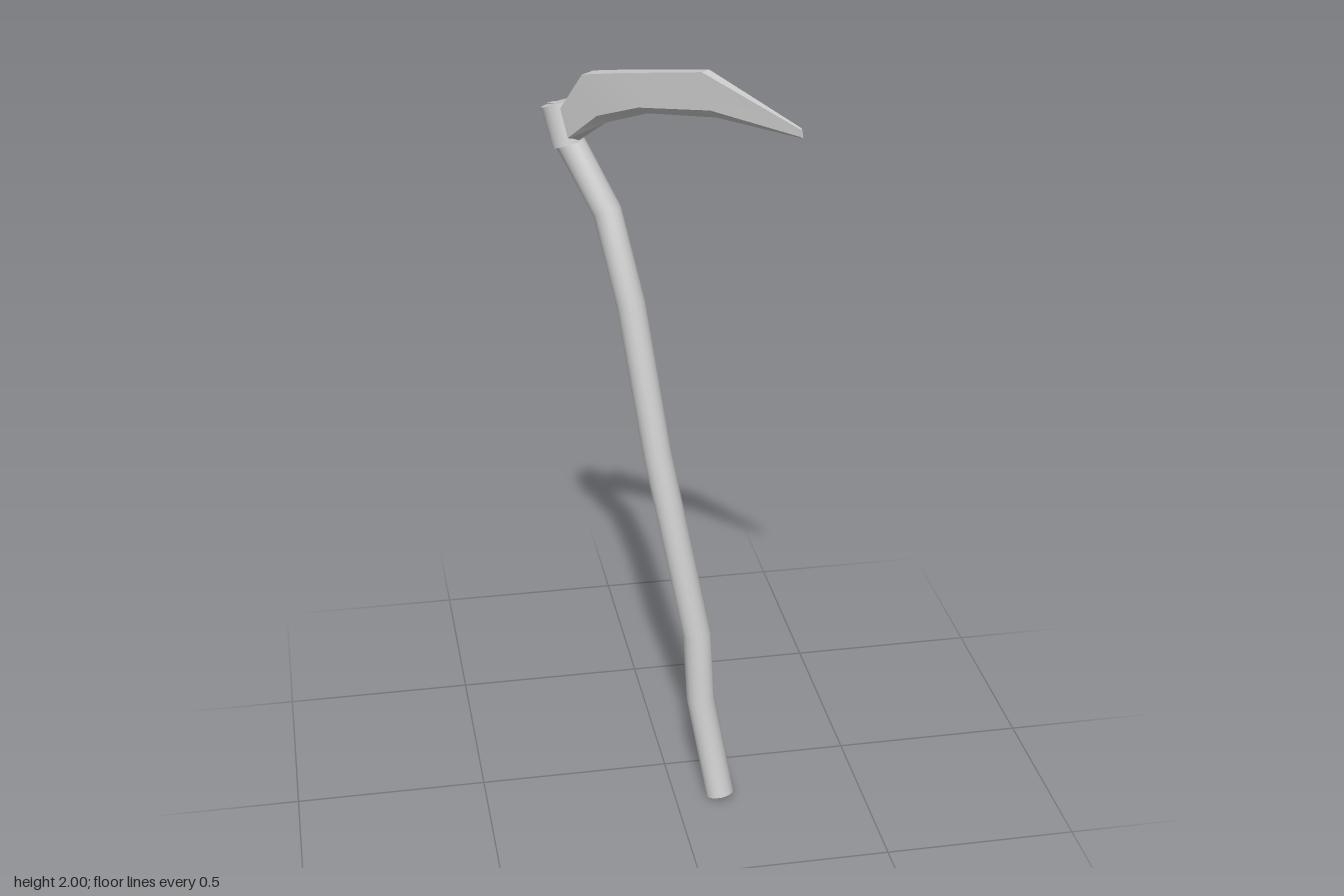
import * as THREE from 'three';
import { toCreasedNormals } from 'three/addons/utils/BufferGeometryUtils.js';

const V = (x, y, z) => new THREE.Vector3(x, y, z);

// Skin a list of equal-length rings and close both ends
function loft(rings, crease) {
  const n = rings[0].length, last = (rings.length - 1) * n, index = [];
  for (let k = 0; k < rings.length - 1; k++) {
    for (let i = 0; i < n; i++) {
      const a = k * n + i, b = k * n + (i + 1) % n;
      index.push(a, b, b + n, a, b + n, a + n);
    }
  }
  for (let i = 1; i < n - 1; i++) {
    index.push(0, i + 1, i, last, last + i, last + i + 1);
  }
  const geometry = new THREE.BufferGeometry().setFromPoints(rings.flat());
  geometry.setIndex(index);
  return toCreasedNormals(geometry, crease);
}

// Round pole along a bent centre line, mitred at each bend
function pole(points, radius, sides = 16) {
  const rings = points.map((p, i) => {
    const before = points[Math.max(i - 1, 0)], after = points[Math.min(i + 1, points.length - 1)];
    const t = V(0, 0, 0);
    if (i > 0) t.add(p.clone().sub(before).normalize());
    if (i < points.length - 1) t.add(after.clone().sub(p).normalize());
    t.normalize();
    const u = V(0.83, 0, -0.56).cross(t).normalize();
    const v = t.clone().cross(u);
    return Array.from({ length: sides }, (_, s) => {
      const a = s / sides * Math.PI * 2;
      return p.clone().addScaledVector(u, radius * Math.cos(a)).addScaledVector(v, radius * Math.sin(a));
    });
  });
  return loft(rings, 0.5);
}

export function createModel() {
  const group = new THREE.Group();
  const material = new THREE.MeshStandardMaterial({ color: 0xcccccc });
  const add = (name, geometry) => {
    const mesh = new THREE.Mesh(geometry, material);
    mesh.name = name;
    group.add(mesh);
    return mesh;
  };

  // Crooked wooden handle
  add('handle', pole([
    V(0.12, 0.011, 0.175), V(0.077, 0.28, 0.11), V(0.069, 0.47, 0.098),
    V(-0.016, 0.95, -0.02), V(-0.069, 1.34, -0.098), V(-0.116, 1.565, -0.169),
    V(-0.2, 1.735, -0.242),
  ], 0.037));

  // Collar holding the blade
  add('collar', pole([V(-0.2, 1.725, -0.24), V(-0.225, 1.825, -0.265)], 0.042));

  // Curved blade: spine x, y, edge x, y, thickness, sideways bow
  const across = V(0.76, 0, -0.65);
  const stations = [
    [-0.205, 1.82, -0.19, 1.73, 0.05, 0],
    [-0.159, 1.926, -0.122, 1.81, 0.044, 0.012],
    [-0.085, 1.952, -0.037, 1.862, 0.038, 0.015],
    [0.079, 2.0, 0.1, 1.893, 0.028, 0.008],
    [0.262, 1.915, 0.265, 1.893, 0.008, 0],
  ];
  const blade = stations.map(([sx, sy, ex, ey, thick, bow]) => {
    const at = (f, side) => {
      const x = sx + (ex - sx) * f, y = sy + (ey - sy) * f;
      return V(x, y, x * 1.172 + bow).addScaledVector(across, side * thick / 2);
    };
    return [at(0, 1), at(0, -1), at(0.82, -1), at(1, 0), at(0.82, 1)];
  });
  add('blade', loft(blade, 0.2));

  // Blade tang poking out behind the collar
  const tang = add('tang', new THREE.BoxGeometry(0.022, 0.115, 0.05));
  tang.position.set(-0.221, 1.765, -0.27);
  tang.rotation.set(-0.24, 0.25, 0.15);

  return group;
}
